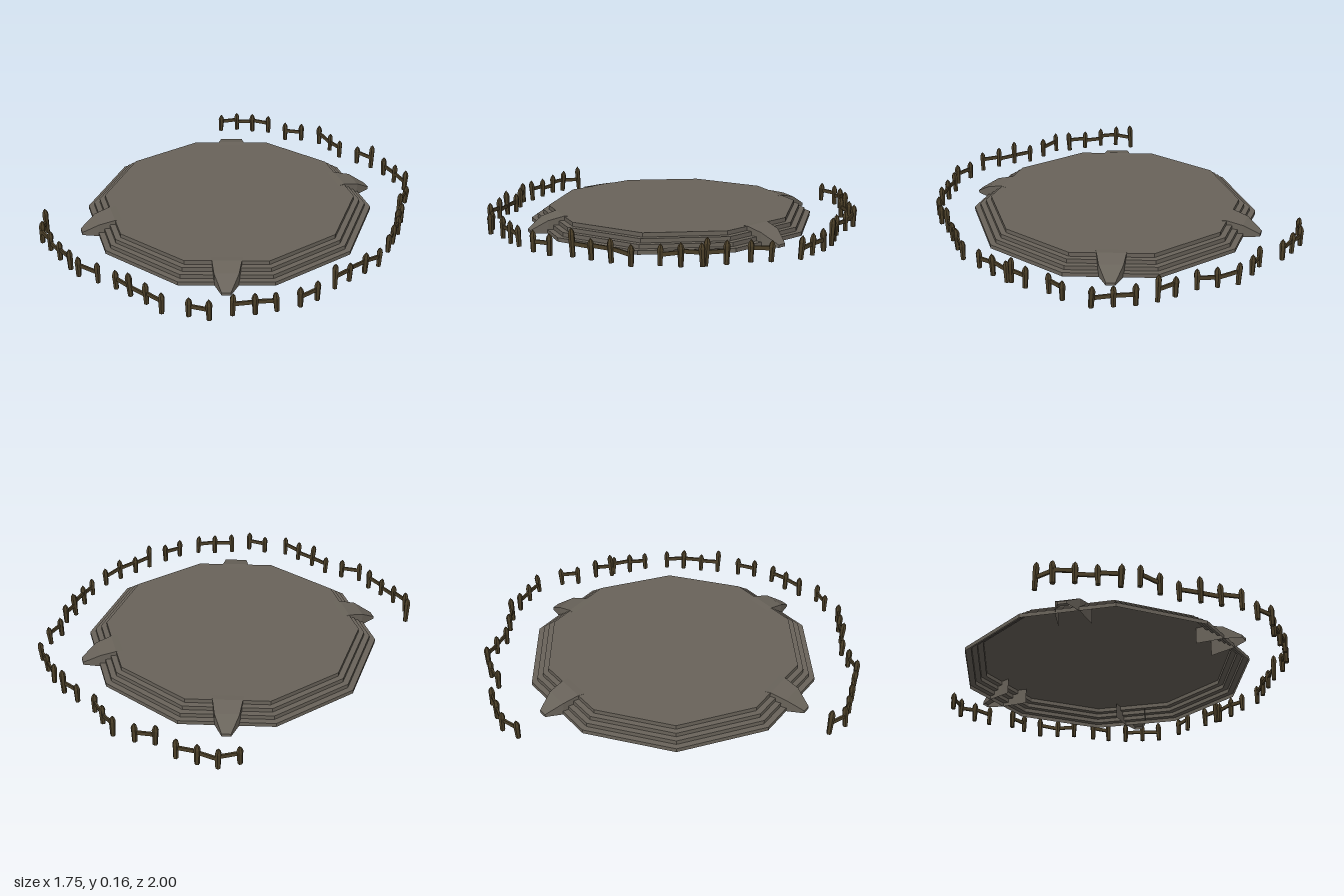
import * as THREE from 'three';

const stone = new THREE.MeshStandardMaterial({ color: 0x69635a, flatShading: true, side: THREE.DoubleSide });
stone.name = 'stone';
const wood = new THREE.MeshStandardMaterial({ color: 0x4b3f28, flatShading: true, side: THREE.DoubleSide });
wood.name = 'old wood';

const CX = -0.093, CZ = 0.01, BASE = 0.013;

// seeded jitter in -1..1
let seed = 7;
const jitter = () => {
  seed = (seed * 16807) % 2147483647;
  return (seed / 2147483647) * 2 - 1;
};

// Ten-sided stepped platform, open underneath
function platform() {
  const radii = [0.782, 0.75, 0.719, 0.688], tops = [0.034, 0.056, 0.078, 0.1];
  const profile = [];
  radii.forEach((r, i) => {
    profile.push(new THREE.Vector2(r, i ? tops[i - 1] : BASE), new THREE.Vector2(r, tops[i]));
  });
  profile.push(new THREE.Vector2(0, 0.1));
  const mesh = new THREE.Mesh(new THREE.LatheGeometry(profile, 10, Math.PI / 10), stone);
  mesh.name = 'steppedPlatform';
  mesh.position.set(CX, 0, CZ);
  return mesh;
}

// Tapered ramp shell running outward along +x
function rampGeometry() {
  const sections = [[0.6, 0.099, 0.085], [0.655, 0.102, 0.075], [0.74, 0.082, 0.062], [0.827, 0.028, 0.023]];
  const pos = [], idx = [];
  for (const [r, y, w] of sections) pos.push(r, BASE, w, r, y, w, r, y, -w, r, BASE, -w);
  for (let s = 0; s < sections.length - 1; s++) {
    for (let k = 0; k < 3; k++) {
      const a = s * 4 + k, b = a + 4;
      idx.push(a, b, a + 1, b, b + 1, a + 1);
    }
  }
  const e = (sections.length - 1) * 4;
  idx.push(e, e + 3, e + 2, e, e + 2, e + 1); // outer end
  const g = new THREE.BufferGeometry();
  g.setAttribute('position', new THREE.Float32BufferAttribute(pos, 3));
  g.setIndex(idx);
  g.computeVertexNormals();
  return g;
}

// Pointed stake
function post(x, z, h) {
  const pts = [[0, 0], [0.013, 0], [0.015, h * 0.5], [0.017, h - 0.032], [0.012, h - 0.015], [0, h]]
    .map(([r, y]) => new THREE.Vector2(r, y));
  const mesh = new THREE.Mesh(new THREE.LatheGeometry(pts, 6), wood);
  mesh.name = 'fencePost';
  mesh.position.set(x, 0.006 + 0.005 * jitter(), z);
  mesh.rotation.set(0.05 * jitter(), 3 * jitter(), 0.05 * jitter());
  return mesh;
}

// Crooked board between two posts
function rail(a, b) {
  const from = new THREE.Vector3(a[0], 0.068 + 0.012 * jitter(), a[1]);
  const to = new THREE.Vector3(b[0], 0.068 + 0.012 * jitter(), b[1]);
  const mesh = new THREE.Mesh(new THREE.BoxGeometry(0.01, 0.02, from.distanceTo(to) + 0.012), wood);
  mesh.name = 'fenceRail';
  mesh.position.copy(from).add(to).multiplyScalar(0.5);
  mesh.lookAt(to);
  return mesh;
}

// Fence runs: [x, z, optional height] of each post
const runs = [
  [[-0.745, -0.765], [-0.68, -0.85], [-0.585, -0.887], [-0.485, -0.923]],
  [[-0.343, -0.908], [-0.253, -0.955]],
  [[-0.138, -0.985], [-0.037, -0.949], [0.058, -0.908]],
  [[0.185, -0.903], [0.286, -0.897, 0.147]],
  [[0.391, -0.866], [0.486, -0.818], [0.58, -0.77]],
  [[0.655, -0.638], [0.67, -0.542]],
  [[0.74, -0.437], [0.763, -0.341, 0.144]],
  [[0.782, -0.331], [0.804, -0.23], [0.83, -0.135]],
  [[0.852, 0], [0.83, 0.103, 0.125], [0.804, 0.209], [0.782, 0.31, 0.146]],
  [[0.761, 0.436], [0.727, 0.532]],
  [[0.66, 0.632], [0.586, 0.706], [0.506, 0.78]],
  [[0.442, 0.875], [0.343, 0.907]],
  [[0.226, 0.966], [0.122, 0.955], [0.015, 0.95, 0.138], [-0.09, 0.939]],
  [[-0.197, 0.955], [-0.308, 0.977]],
  [[-0.392, 0.95], [-0.492, 0.923], [-0.593, 0.892], [-0.688, 0.86, 0.128], [-0.745, 0.77, 0.147]],
];

export function createModel() {
  const model = new THREE.Group();
  model.name = 'fencedPlatform';
  model.add(platform());

  // Ramps on four of the ten sides
  const geo = rampGeometry();
  for (const deg of [54, 126, 234, 306]) {
    const ramp = new THREE.Mesh(geo, stone);
    ramp.name = 'ramp';
    ramp.position.set(CX, 0, CZ);
    ramp.rotation.y = -THREE.MathUtils.degToRad(deg);
    model.add(ramp);
  }

  // Broken ring of fence
  const fence = new THREE.Group();
  fence.name = 'fence';
  for (const run of runs) {
    run.forEach((p, i) => {
      fence.add(post(p[0], p[1], p[2] ?? 0.115 + 0.008 * jitter()));
      if (i) fence.add(rail(run[i - 1], p));
    });
  }
  model.add(fence);
  return model;
}
